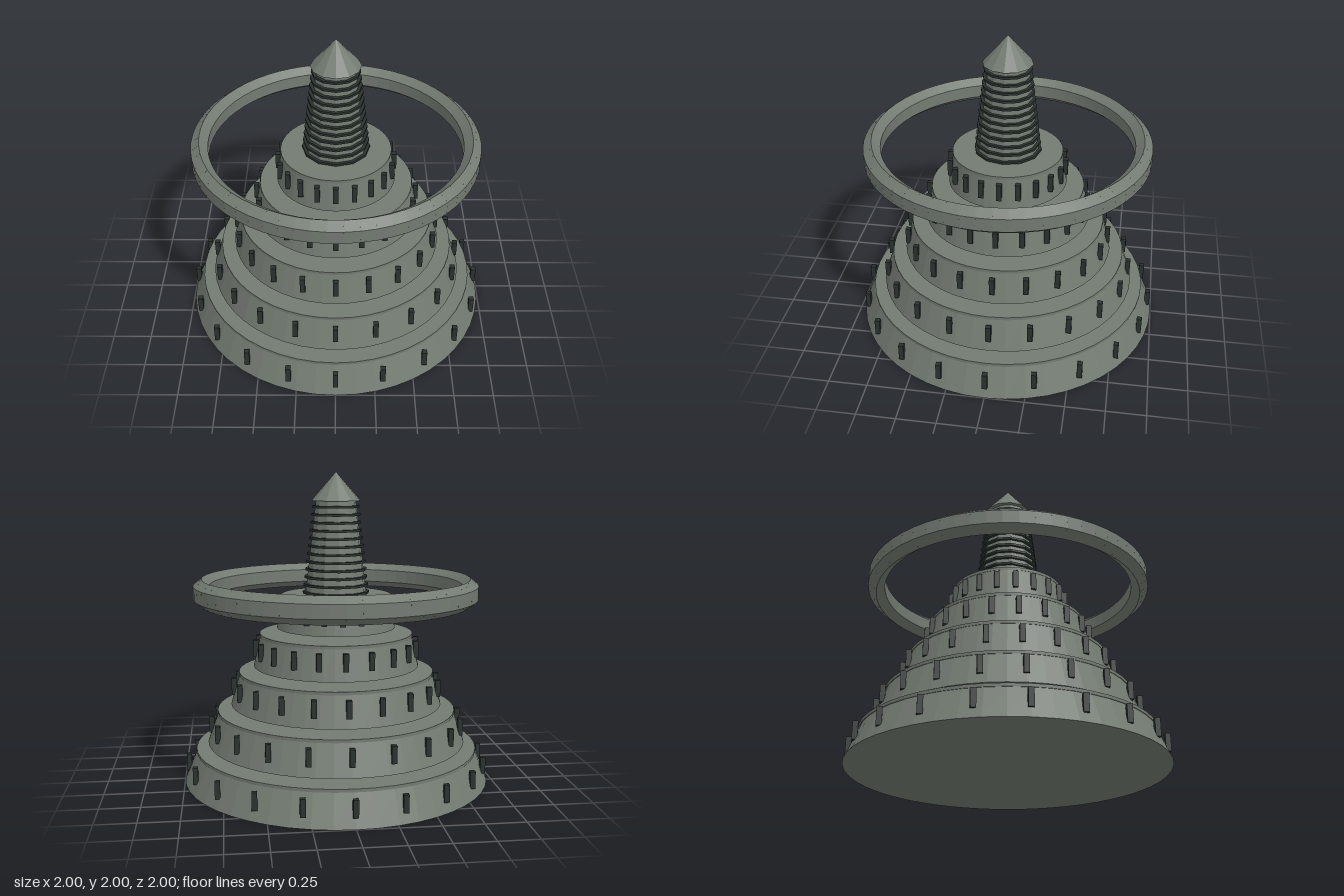
import * as THREE from 'three';

export function createModel() {
  const model = new THREE.Group();
  const stone = new THREE.MeshStandardMaterial({ color: 0x737b72, flatShading: true });
  stone.name = 'grey stone';
  const dark = new THREE.MeshStandardMaterial({ color: 0x29322f, flatShading: true });
  dark.name = 'dark metal';

  const add = (parent, name, geometry, material, x = 0, y = 0, z = 0) => {
    const mesh = new THREE.Mesh(geometry, material);
    mesh.name = name;
    mesh.position.set(x, y, z);
    parent.add(mesh);
    return mesh;
  };

  // Five floating tiers, each with a rim and twenty square-set windows
  const windowBox = new THREE.BoxGeometry(0.033, 0.11, 0.033);
  [1, 0.845, 0.69, 0.54, 0.385].forEach((r, i) => {
    const tier = new THREE.Group();
    tier.name = 'tier' + (i + 1);
    tier.position.y = i * 0.25;
    add(tier, 'tierWall', new THREE.CylinderGeometry(r * 0.915, r, 0.2, 48), stone, 0, 0.1, 0);
    add(tier, 'tierRim', new THREE.CylinderGeometry(r * 0.922, r * 0.922, 0.02, 48), stone, 0, 0.205, 0);
    for (let k = 0; k < 20; k++) {
      const a = (k / 20) * Math.PI * 2;
      add(tier, 'window', windowBox, dark, Math.sin(a) * r * 0.971, 0.117, Math.cos(a) * r * 0.971);
    }
    model.add(tier);
  });

  // Floating ring of overlapping hexagonal segments
  const ring = new THREE.Group();
  ring.name = 'floatingRing';
  ring.position.y = 1.242;
  const segment = new THREE.CylinderGeometry(0.085, 0.085, 0.1, 6);
  segment.rotateX(Math.PI / 2);          // axis along z, corners at top and bottom
  segment.scale(0.74, 1, 1);
  const count = 60;
  for (let k = 0; k < count; k++) {
    const a = (k / count) * Math.PI * 2;
    const part = add(ring, 'ringSegment', segment, stone, Math.cos(a) * 0.865, 0, Math.sin(a) * 0.865);
    part.rotation.y = -a;
  }
  model.add(ring);

  // Tapered spire with dark bands and a pointed cap
  const spireRadius = y => 0.2 - (y - 1.21) * 0.117;
  const spire = new THREE.Group();
  spire.name = 'spire';
  add(spire, 'spireShaft', new THREE.CylinderGeometry(spireRadius(1.82), spireRadius(1.21), 0.61, 12), stone, 0, 1.515, 0);
  for (let k = 0; k < 12; k++) {
    const y = 1.23 + k * 0.05;
    const r = spireRadius(y) + 0.019;
    add(spire, 'spireBand', new THREE.CylinderGeometry(r, r, 0.015, 12), dark, 0, y, 0);
  }
  add(spire, 'spireCap', new THREE.ConeGeometry(0.158, 0.182, 12), stone, 0, 1.909, 0);
  model.add(spire);

  return model;
}
